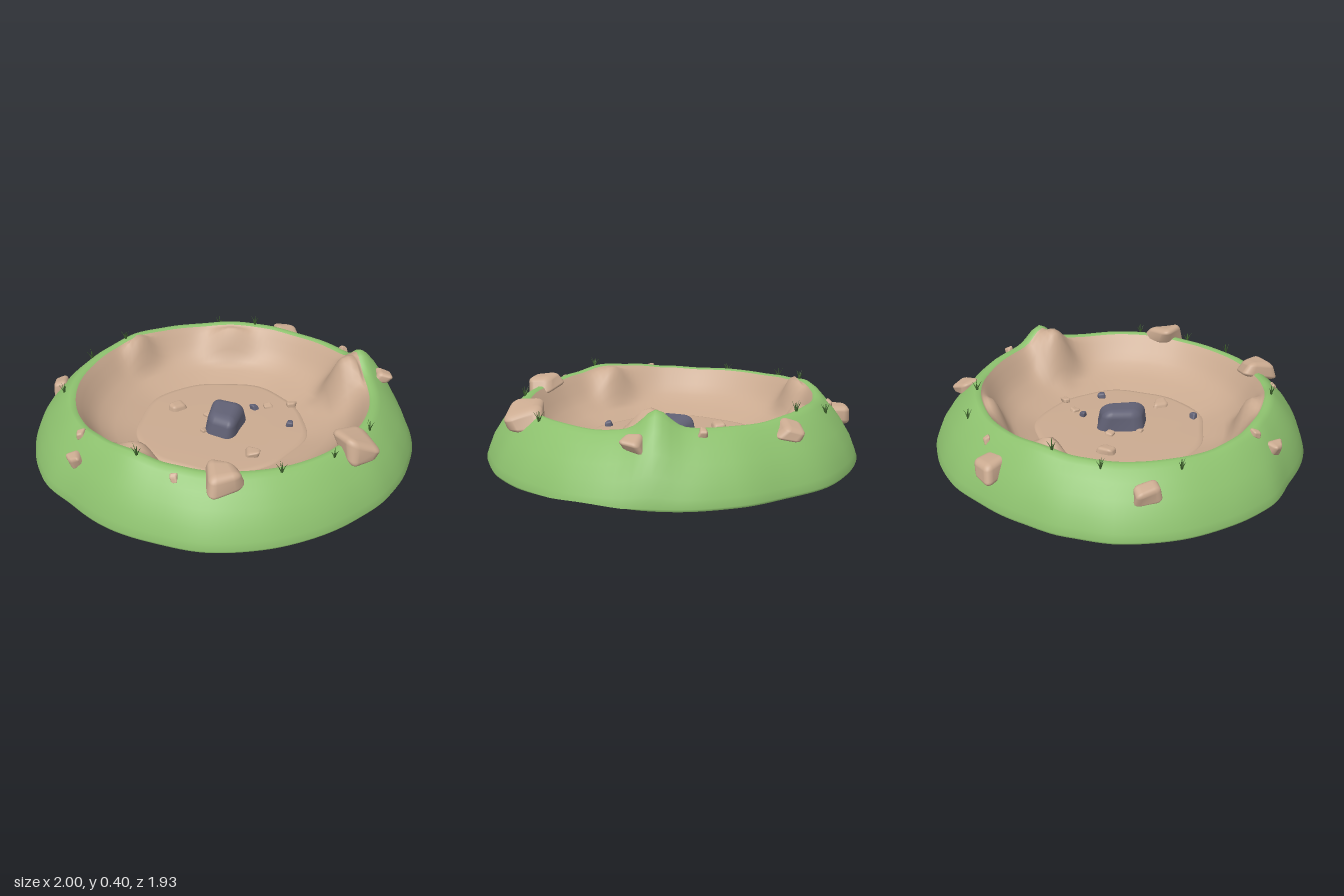
import * as THREE from 'three';
import { mergeVertices, mergeGeometries } from 'three/addons/utils/BufferGeometryUtils.js';
import { RoundedBoxGeometry } from 'three/addons/geometries/RoundedBoxGeometry.js';

const SEG = 144;
const DEG = Math.PI / 180;
const { lerp, smoothstep, mapLinear } = THREE.MathUtils;

// Outer radius and rim height every 15 degrees, from +x towards +z
const OUTER = [.995, .98, .97, .955, .955, .96, .965, .95, .955, .95, .985, .99,
  1, 1, .975, .95, .945, .965, .97, .98, .965, .985, .995, 1];
const RIM = [.285, .29, .29, .28, .28, .285, .29, .305, .33, .315, .295, .285,
  .29, .29, .30, .32, .31, .305, .315, .31, .30, .305, .31, .30];
// Bank section: [outwards from crest, share of rim height]
const BANK = [[.97, 0], [1, .04], [.94, .16], [.82, .37], [.61, .6], [.36, .81], [.15, .95], [.03, 1], [-.06, 1]];
// Bowl section: [inwards from rim edge, share of wall height]
const BOWL = [[0, 1], [.04, .93], [.1, .82], [.2, .62], [.3, .46], [.38, .37], [.47, .28], [.56, .21],
  [.65, .15], [.83, .06], [1.06, -.04]];
// Earth ledges along the wall: [angle, width, top height, inward reach]
const LEDGES = [[340, 9, .385, .7], [122, 9, .325, .6], [223, 7, .34, .45], [269, 11, .31, .5]];

function sample(table, a) {
  const t = (((a / (15 * DEG)) % 24) + 24) % 24;
  const i = Math.floor(t), f = t - i;
  return lerp(table[i], table[(i + 1) % 24], f * f * (3 - 2 * f));
}
function near(a, deg, width) {
  const d = Math.atan2(Math.sin(a - deg * DEG), Math.cos(a - deg * DEG)) / DEG;
  return Math.exp(-((d / width) ** 2));
}
const outerR = a => sample(OUTER, a);
const rimH = a => sample(RIM, a) + .09 * near(a, 337.5, 6);
const edgeR = a => .742 + .016 * Math.cos(2 * a) - .006 * Math.cos(a);
const crestR = a => edgeR(a) + .025;
const floorR = a => .452 - .014 * Math.cos(a) - .012 * Math.sin(a) + .008 * Math.sin(5 * a + 1) + .005 * Math.sin(9 * a);
const baseY = a => .02 * near(a, 355, 14);

// Skin closed rings given by fn(ring, angle) -> [radius, height]
function rings(count, fn) {
  const pos = [], idx = [];
  for (let i = 0; i < count; i++) {
    for (let j = 0; j < SEG; j++) {
      const a = j / SEG * Math.PI * 2;
      const [r, y] = fn(i, a);
      pos.push(r * Math.cos(a), y, r * Math.sin(a));
      if (i < count - 1) {
        const k = (j + 1) % SEG, p = i * SEG + j, q = i * SEG + k;
        idx.push(p, p + SEG, q, q, p + SEG, q + SEG);
      }
    }
  }
  const g = new THREE.BufferGeometry();
  g.setAttribute('position', new THREE.Float32BufferAttribute(pos, 3));
  g.setIndex(idx);
  g.computeVertexNormals();
  return g;
}

// Height of the grass bank at a point, for placing things on it
function bankY(x, z) {
  const a = Math.atan2(z, x), r = Math.hypot(x, z);
  const u = (r - crestR(a)) / (outerR(a) - crestR(a));
  for (let i = 2; i < BANK.length; i++) {
    const [u0, h0] = BANK[i - 1], [u1, h1] = BANK[i];
    if (u <= u0 && u >= u1) return rimH(a) * mapLinear(u, u0, u1, h0, h1);
  }
  return rimH(a) * .98;
}

let seed = 7;
function rand() {
  seed = (seed * 16807) % 2147483647;
  return seed / 2147483647;
}

// Well rounded block with its eight corners shifted at random
function rockGeometry(w, h, d) {
  let g = new RoundedBoxGeometry(1, 1, 1, 4, .27);
  g.deleteAttribute('normal');
  g.deleteAttribute('uv');
  g = mergeVertices(g, 1e-4);
  const shift = Array.from({ length: 8 }, () => [rand() - .5, rand() - .5, rand() - .5]);
  const p = g.attributes.position;
  for (let i = 0; i < p.count; i++) {
    const v = [p.getX(i), p.getY(i), p.getZ(i)];
    const out = [...v];
    shift.forEach((s, c) => {
      const wt = v.reduce((m, q, k) => m * ((c >> k) & 1 ? .5 + q : .5 - q), 1);
      s.forEach((e, k) => { out[k] += e * wt * .5; });
    });
    const taper = 1.05 - .25 * v[1];
    p.setXYZ(i, out[0] * w * taper, out[1] * h, out[2] * d * taper);
  }
  g.center();
  g.computeVertexNormals();
  return g;
}

// Five thin curved blades
function tuftGeometry() {
  const blades = [];
  for (let i = 0; i < 5; i++) {
    const g = new THREE.ConeGeometry(.005, .065, 3, 3);
    g.translate(0, .0325, 0);
    const p = g.attributes.position;
    const lean = i === 0 ? .05 : .3 + .2 * rand();
    for (let k = 0; k < p.count; k++) {
      const y = p.getY(k);
      p.setX(k, p.getX(k) + lean * y * (.5 + y / .065 * .5));
      p.setY(k, y * (1 - lean * .4));
    }
    g.rotateY(i * 1.4 + rand());
    blades.push(g);
  }
  const merged = mergeGeometries(blades);
  merged.computeVertexNormals();
  return merged;
}

export function createModel() {
  const group = new THREE.Group();
  const mat = (name, color) => {
    const m = new THREE.MeshStandardMaterial({ color });
    m.name = name;
    return m;
  };
  const grass = mat('grass green', 0x8dc16e);
  const earth = mat('earth brown', 0xcaaa90);
  const stone = mat('dark stone', 0x616175);
  const blade = mat('blade green', 0x41662f);
  const add = (name, geo, material, x = 0, y = 0, z = 0, turn = 0) => {
    const m = new THREE.Mesh(geo, material);
    m.name = name;
    m.position.set(x, y, z);
    m.rotation.y = turn;
    group.add(m);
    return m;
  };

  // Grass bank, rolling over the crest to the bowl edge
  add('grassBank', rings(BANK.length + 1, (i, a) => {
    if (i === BANK.length) return [edgeR(a), rimH(a) * .98];
    const [u, h] = BANK[i];
    return [lerp(crestR(a), outerR(a), u), Math.max(h * rimH(a), baseY(a))];
  }), grass);

  // Earth wall of the bowl, with ledges standing out from it
  add('bowlWall', rings(BOWL.length, (i, a) => {
    const [w, h] = BOWL[i];
    let y = lerp(.065, rimH(a) * .98, h);
    for (const [deg, width, top, reach] of LEDGES) {
      const share = smoothstep(w, 0, .1) * (1 - smoothstep(w, reach * .35, reach));
      y = lerp(y, Math.max(y, top), share * near(a, deg, width));
    }
    return [lerp(edgeR(a), floorR(a), w), y];
  }), earth);

  // Bowl floor with a soft raised edge
  add('bowlFloor', rings(5, (i, a) => [
    floorR(a) * [1, .98, .93, .5, 0][i], [.055, .068, .072, .075, .075][i],
  ]), earth);

  // Underside, slightly hollow, meeting the foot of the bank
  add('underside', rings(3, (i, a) => [
    lerp(crestR(a), outerR(a), baseY(a) > .012 ? 1 : .97) * [0, .5, 1][i], [.015, .01, baseY(a)][i],
  ]), earth);

  // Rocks on the bank, leaning with the slope: x, z, width, height, depth, turn
  [[-.45, -.755, .12, .1, .13, .4], [.3, -.765, .12, .08, .11, .5], [-.89, -.13, .09, .08, .11, .1],
    [.83, -.25, .085, .09, .1, .2], [.675, .44, .18, .13, .16, .5], [.06, .765, .13, .09, .17, .3],
    [-.66, .57, .07, .07, .08, .3], [-.65, .475, .04, .035, .04, 0], [-.165, .78, .03, .03, .035, 0],
    [.63, -.49, .042, .04, .04, .6], [-.325, -.75, .032, .03, .028, 0],
  ].forEach(([x, z, w, h, d, t]) => {
    const rock = add('bankRock', rockGeometry(w, h, d), earth, x, bankY(x, z) + h * .05, z);
    rock.rotation.set(.35 * z, t, -.35 * x);
  });

  // Pebbles on the floor: x, z, size
  [[-.265, -.15, .075], [-.095, -.09, .045], [.165, .26, .075], [.225, -.205, .045], [.355, -.23, .045],
    [-.1, .07, .03],
  ].forEach(([x, z, s]) => add('floorPebble', rockGeometry(s, s * .6, s * .9), earth, x, .078, z, x * 9));
  [[.155, -.175, .034], [.35, -.025, .034], [-.02, .395, .034],
  ].forEach(([x, z, s]) => add('darkPebble', rockGeometry(s, s, s), stone, x, .082, z, z * 5));

  // Large dark stone in the middle, sunk through the floor
  add('darkStone', rockGeometry(.2, .17, .22), stone, .01, .095, 0, -.25);

  // Grass tufts around the rim
  [[-.09, -.81], [.125, -.735], [-.595, -.49], [-.755, -.305], [-.83, .05], [-.345, .685], [.32, .7],
    [.56, .55], [.735, .315],
  ].forEach(([x, z]) => add('grassTuft', tuftGeometry(), blade, x, bankY(x, z) - .005, z));

  return group;
}
